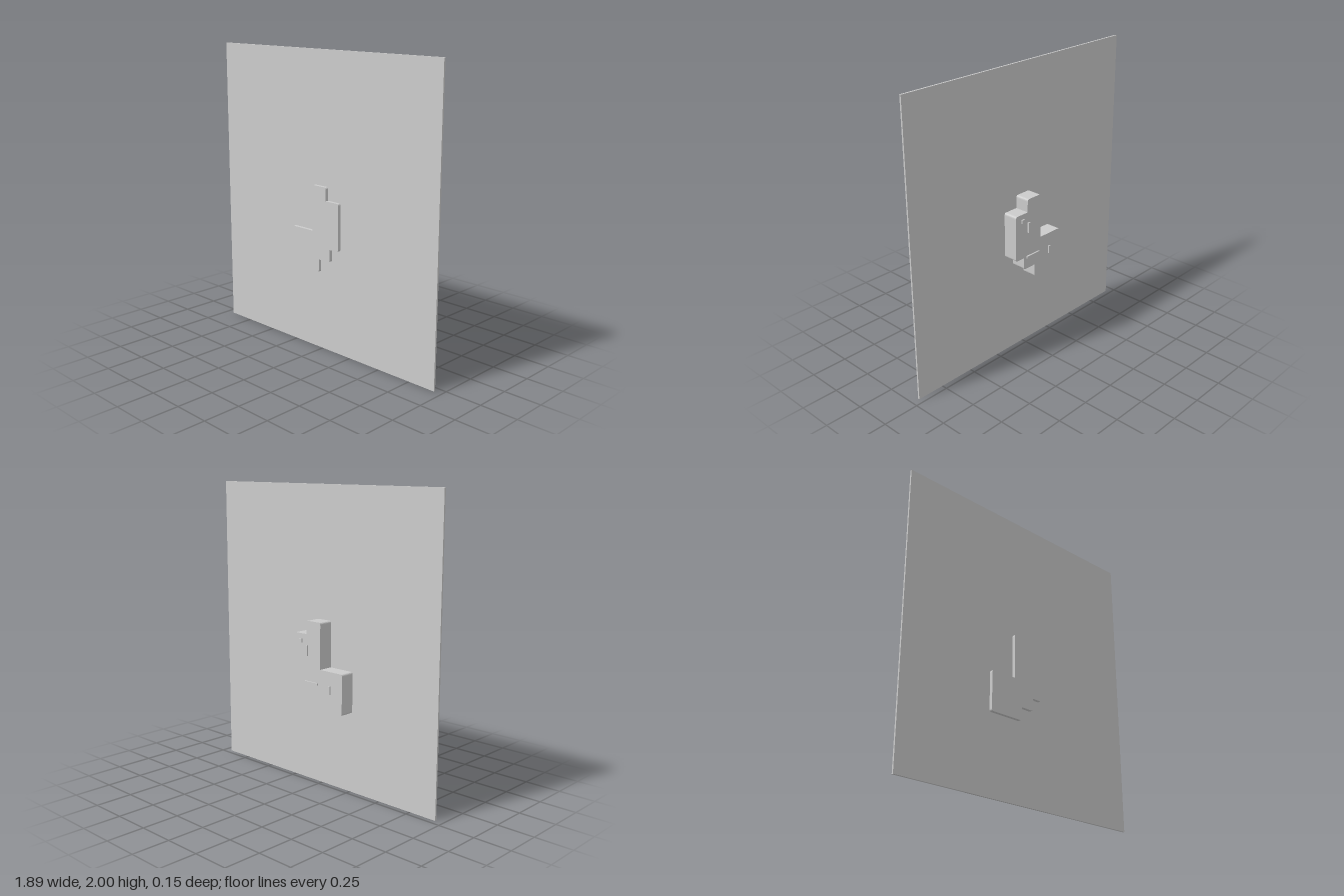
import * as THREE from 'three';

const material = new THREE.MeshStandardMaterial({ color: 0xcccccc, flatShading: true });

// Box given by its extents on each axis
function slab(name, [x0, x1], [y0, y1], [z0, z1]) {
  const mesh = new THREE.Mesh(new THREE.BoxGeometry(x1 - x0, y1 - y0, z1 - z0), material);
  mesh.position.set((x0 + x1) / 2, (y0 + y1) / 2, (z0 + z1) / 2);
  mesh.name = name;
  return mesh;
}

// Counter-clockwise polygon whose outward corners are rounded
function roundedOutline(points, r) {
  const shape = new THREE.Shape();
  const corners = points.map((p) => new THREE.Vector2(...p));
  const n = corners.length;
  corners.forEach((c, i) => {
    const toPrev = corners[(i + n - 1) % n].clone().sub(c).normalize();
    const toNext = corners[(i + 1) % n].clone().sub(c).normalize();
    const convex = toNext.cross(toPrev) > 0;
    const a = c.clone().addScaledVector(toPrev, convex ? r : 0);
    const b = c.clone().addScaledVector(toNext, convex ? r : 0);
    if (i === 0) shape.moveTo(a.x, a.y);
    else shape.lineTo(a.x, a.y);
    if (convex) shape.quadraticCurveTo(c.x, c.y, b.x, b.y);
  });
  shape.closePath();
  return shape;
}

export function createModel() {
  const model = new THREE.Group();
  model.name = 'panelWithSteppedBlock';

  // Large thin panel
  model.add(slab('panel', [-0.945, 0.945], [0, 2], [0.038, 0.05]));

  // Stepped block passing through the panel
  const outline = roundedOutline([
    [-0.265, 0.54], [-0.015, 0.54], [-0.015, 0.63], [0.085, 0.63],
    [0.085, 0.715], [0.16, 0.715], [0.16, 1.035], [0.05, 1.035],
    [0.05, 1.125], [-0.075, 1.125], [-0.075, 0.815], [-0.265, 0.815],
  ], 0.016);
  const block = new THREE.Mesh(
    new THREE.ExtrudeGeometry(outline, { depth: 0.136, bevelEnabled: false, curveSegments: 5 }),
    material,
  );
  block.position.z = -0.063;
  block.name = 'steppedBlock';
  model.add(block);

  // Small raised tabs on the back of the block
  const tabDepth = [-0.073, -0.06];
  model.add(
    slab('sideTab', [-0.166, -0.152], [0.665, 0.722], tabDepth),
    slab('crossTab', [-0.054, 0.062], [0.707, 0.722], tabDepth),
    slab('uprightTab', [0.036, 0.05], [0.89, 0.963], tabDepth),
    slab('squareTab', [0.086, 0.11], [0.975, 1.0], tabDepth),
  );
  return model;
}
